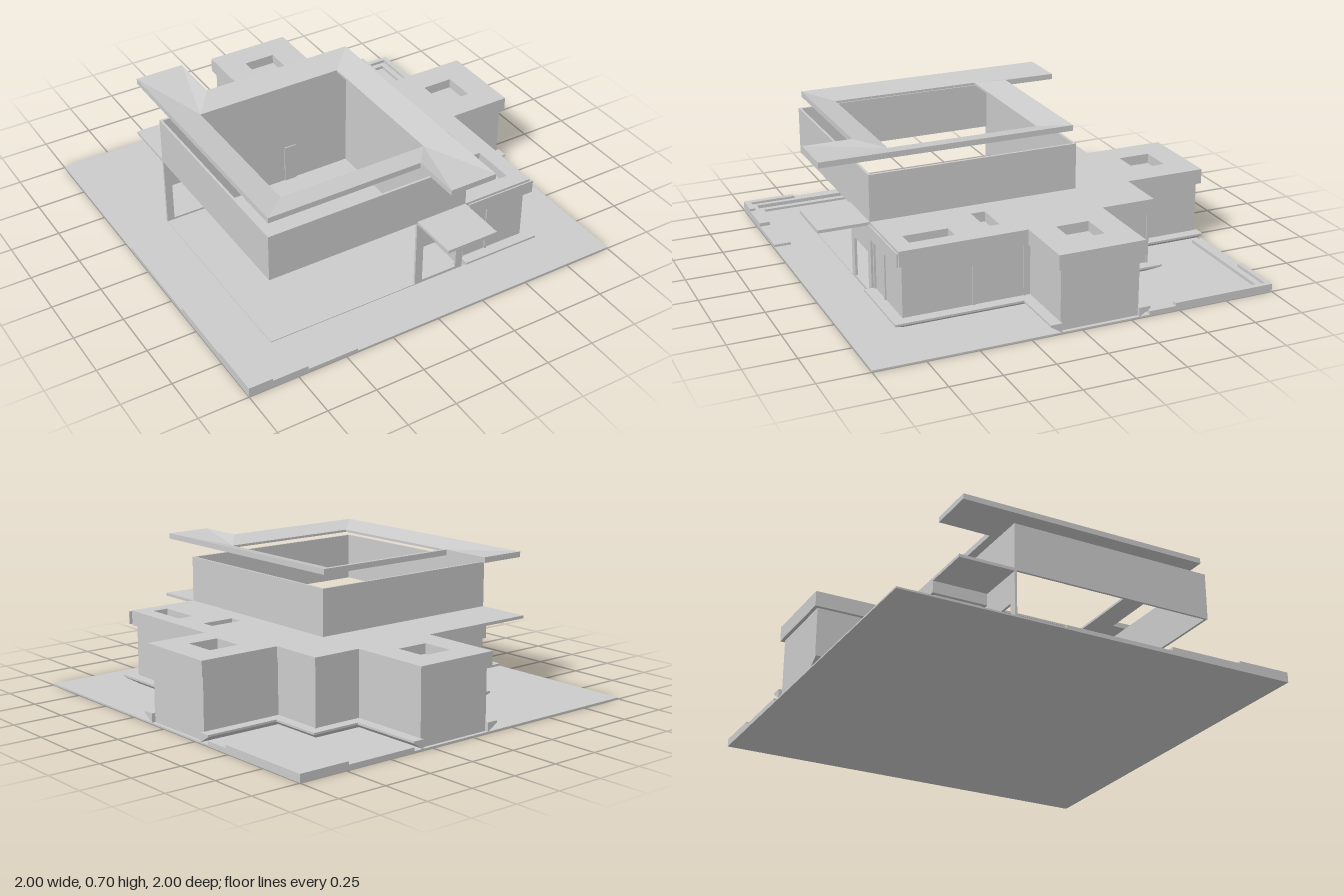
import * as THREE from 'three';

const grey = new THREE.MeshStandardMaterial({ color: 0xcccccc, flatShading: true, side: THREE.DoubleSide });

function add(parent, name, geometry) {
  const mesh = new THREE.Mesh(geometry, grey);
  mesh.name = name;
  parent.add(mesh);
  return mesh;
}

// Box given by its limits on each axis
function box(parent, name, x0, x1, y0, y1, z0, z1) {
  const m = add(parent, name, new THREE.BoxGeometry(x1 - x0, y1 - y0, z1 - z0));
  m.position.set((x0 + x1) / 2, (y0 + y1) / 2, (z0 + z1) / 2);
  return m;
}

const rect = (x0, x1, z0, z1) => [[x0, z0], [x1, z0], [x1, z1], [x0, z1]];

// Floor plan [x, z] raised from y0 to y1, with optional openings
function slab(parent, name, plan, y0, y1, holes = []) {
  const flip = (pts) => pts.map(([x, z]) => new THREE.Vector2(x, -z));
  const shape = new THREE.Shape(flip(plan));
  holes.forEach((h) => shape.holes.push(new THREE.Path(flip(h))));
  const g = new THREE.ExtrudeGeometry(shape, { depth: y1 - y0, bevelEnabled: false });
  g.rotateX(-Math.PI / 2).translate(0, y0, 0);
  return add(parent, name, g);
}

// Moves a right-angled plan line outward by d
function offset(pts, d, closed) {
  const n = pts.length;
  const normal = (i) => {
    if (!closed && (i < 0 || i >= n - 1)) return [0, 0];
    const a = pts[(i + n) % n], b = pts[(i + 1) % n];
    return [Math.sign(b[1] - a[1]), -Math.sign(b[0] - a[0])];
  };
  return pts.map(([x, z], i) => {
    const p = normal(i - 1), q = normal(i);
    const same = p[0] === q[0] && p[1] === q[1];
    return [x + d * (same ? p[0] : p[0] + q[0]), z + d * (same ? p[1] : p[1] + q[1])];
  });
}

// Skin over a loop of section rails, each rail being a plan line at one height
function skin(rails, closed) {
  const r = rails.map(([pts, y]) => pts.map(([x, z]) => [x, y, z]));
  const n = r[0].length, out = [];
  const quad = (a, b, c, d) => out.push(...a, ...b, ...c, ...a, ...c, ...d);
  r.forEach((a, k) => {
    const b = r[(k + 1) % r.length];
    for (let i = 0; i < (closed ? n : n - 1); i++) {
      const j = (i + 1) % n;
      quad(a[i], b[i], b[j], a[j]);
    }
  });
  if (!closed) {
    quad(r[3][0], r[2][0], r[1][0], r[0][0]);
    quad(r[0][n - 1], r[1][n - 1], r[2][n - 1], r[3][n - 1]);
  }
  const g = new THREE.BufferGeometry();
  g.setAttribute('position', new THREE.Float32BufferAttribute(out, 3));
  g.computeVertexNormals();
  return g;
}

// Wall facing z with a doorway
function doorWall(parent, name, x0, x1, d0, d1, z) {
  const v = (pts) => pts.map(([x, y]) => new THREE.Vector2(x, y));
  const s = new THREE.Shape(v(rect(x0, x1, 0, 0.615)));
  s.holes.push(new THREE.Path(v(rect(d0, d1, 0.022, 0.222))));
  const g = new THREE.ExtrudeGeometry(s, { depth: 0.012, bevelEnabled: false });
  add(parent, name, g.translate(0, 0, z));
}

function createSite() {
  const g = new THREE.Group();
  g.name = 'site';
  box(g, 'groundSlab', -1, 1, 0, 0.008, -1, 1);
  box(g, 'courtyardPaving', -0.75, 0.3, 0.008, 0.012, -0.3, 0.75);
  // Stepped corner planters: [inner edge, z end, x end, height]
  [[0.915, -0.19, -0.44, 0.02], [0.945, 0.36, -0.7, 0.038], [0.97, 0.73, -0.88, 0.05]].forEach(([e, z, x, h]) =>
    slab(g, 'frontPlanterStep', [[-1, z], [-e, z], [-e, e], [x, e], [x, 1], [-1, 1]], 0, h));
  [[0.945, -0.345, 0.36, 0.025], [0.975, -0.48, 0.735, 0.04]].forEach(([e, z, x, h]) =>
    slab(g, 'backPlanterStep', [[x, -1], [1, -1], [1, z], [e, z], [e, -e], [x, -e]], 0, h));
  return g;
}

function createLowWings() {
  const g = new THREE.Group();
  g.name = 'lowWings';
  const plan = [[-0.49, -0.305], [-0.49, -0.585], [-0.115, -0.585], [-0.115, -1], [0.325, -1], [0.325, -0.585],
    [0.58, -0.585], [0.58, -0.31], [1, -0.31], [1, 0.12], [0.68, 0.12], [0.68, 0.75], [0.305, 0.75], [0.305, -0.305]];
  slab(g, 'wingWalls', offset(plan, -0.018, true), 0, 0.315);
  slab(g, 'roofFascia', plan, 0.31, 0.335);
  const skylights = [rect(0.02, 0.185, -0.865, -0.7), rect(0.7, 0.86, -0.175, -0.01),
    rect(0.4, 0.57, 0.215, 0.285), rect(0.52, 0.602, 0.45, 0.672)];
  slab(g, 'wingRoof', plan, 0.335, 0.385, skylights);
  box(g, 'frontFasciaPlate', 0.32, 0.69, 0.315, 0.38, 0.757, 0.764);
  // Flared sills around the glazed corners
  const sills = [
    [[1, 0.12], [0.68, 0.12], [0.68, 0.75], [0.305, 0.75]],
    [[0.325, -1], [0.325, -0.585], [0.58, -0.585], [0.58, -0.31], [1, -0.31]],
    [[-0.49, -0.585], [-0.115, -0.585], [-0.115, -1]],
  ];
  sills.forEach((line) => {
    const outer = offset(line, 0.037), inner = offset(line, -0.02);
    add(g, 'windowSill', skin([[outer, 0.052], [inner, 0.052], [inner, 0.006], [outer, 0.042]], false));
  });
  // Window bars
  [[0.45, 0.735], [0.31, 0.735]].forEach(([x, z]) => box(g, 'frontMullion', x - 0.006, x + 0.006, 0.05, 0.31, z - 0.01, z + 0.004));
  [[0.663, 0.385], [0.663, 0.13], [0.563, -0.565]].forEach(([x, z]) =>
    box(g, 'sideMullion', x - 0.01, x + 0.004, 0.05, 0.31, z - 0.006, z + 0.006));
  return g;
}

function createAtrium() {
  const g = new THREE.Group();
  g.name = 'atrium';
  const t = 0.012;
  box(g, 'rightWall', 0.305 - t, 0.305, 0, 0.615, -0.305, 0.75);
  box(g, 'leftUpperWall', -0.75, -0.75 + t, 0.375, 0.615, -0.305, 0.75);
  box(g, 'frontUpperWall', -0.75, 0.035, 0.375, 0.615, 0.75 - t, 0.75);
  box(g, 'backWall', -0.49, 0.305, 0, 0.615, -0.305, -0.305 + t);
  doorWall(g, 'backDoorWall', -0.75, -0.49, -0.712, -0.52, -0.305);
  doorWall(g, 'frontDoorWall', 0.035, 0.305, 0.075, 0.267, 0.75 - t);
  box(g, 'frontCanopy', 0.035, 0.305, 0.37, 0.385, 0.75, 1);
  box(g, 'backCanopy', -0.75, -0.49, 0.37, 0.385, -0.585, -0.305);
  box(g, 'innerDoor', -0.075, -0.01, 0.01, 0.215, -0.295, -0.287);
  return g;
}

// Floating butterfly roof around the open centre
function createFloatingRoof() {
  const outer = [[-0.74, -0.562], [-0.495, -0.562], [-0.495, -0.295], [0.29, -0.295],
    [0.29, 0.98], [0.05, 0.98], [0.05, 0.735], [-0.74, 0.735]];
  const [a, b, c, d] = rect(-0.6, 0.158, -0.163, 0.6);
  const inner = [a, a, a, b, c, c, c, d];
  const g = new THREE.Group();
  add(g, 'floatingRoof', skin([[outer, 0.705], [inner, 0.677], [inner, 0.665], [outer, 0.677]], true));
  return g;
}

export function createModel() {
  const model = new THREE.Group();
  model.name = 'courtyardHouse';
  model.add(createSite(), createLowWings(), createAtrium(), createFloatingRoof());
  return model;
}
